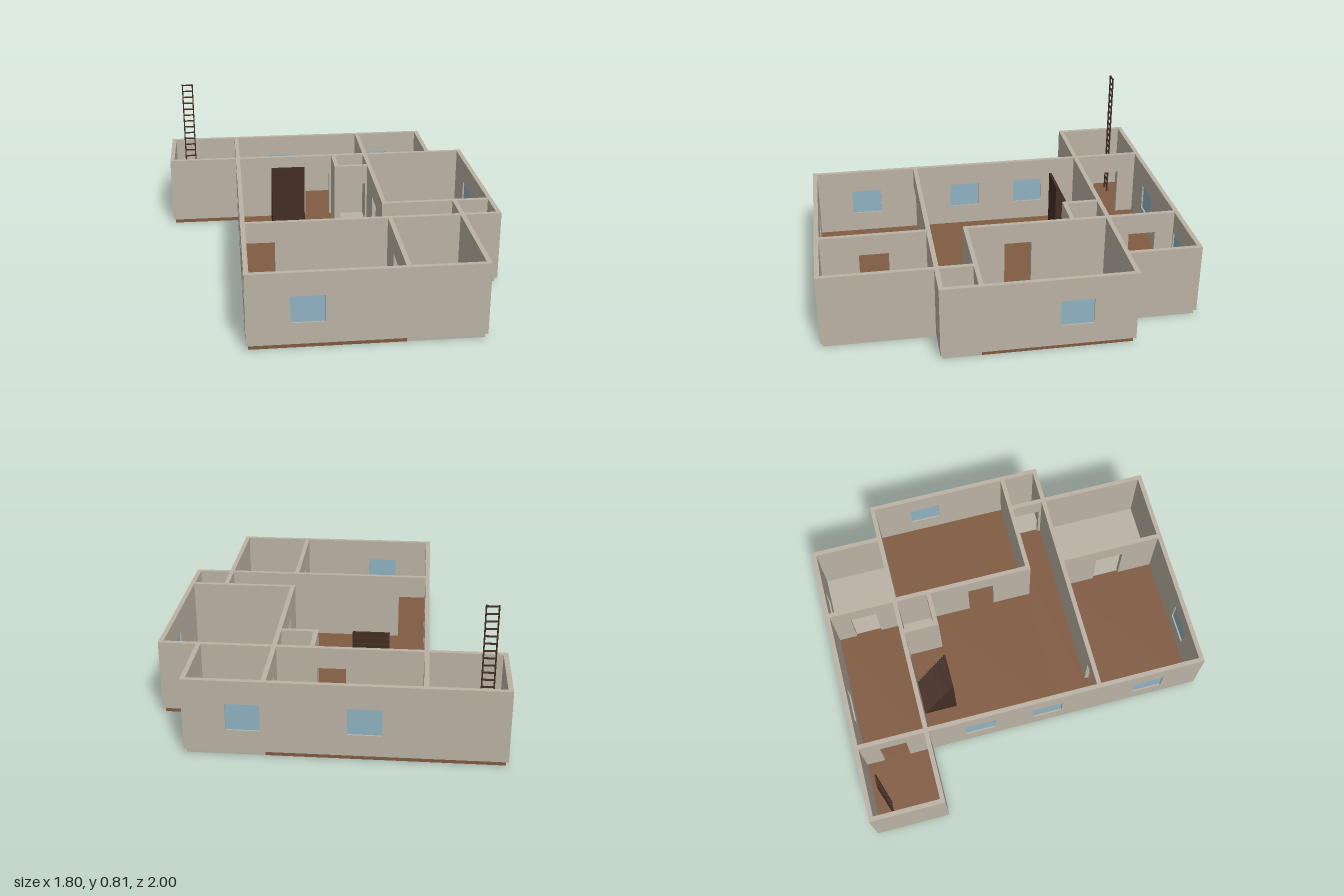
import * as THREE from 'three';

const mat = (name, color) => {
  const m = new THREE.MeshStandardMaterial({ color });
  m.name = name;
  return m;
};

export function createModel() {
  const plaster = mat('plaster', 0xbbb2a4);
  const tile = mat('tile', 0xb9b2a5);
  const wood = mat('wood floor', 0x815b41);
  const darkWood = mat('dark wood', 0x432d23);
  const glass = mat('window glass', 0x8fb2c2);

  const house = new THREE.Group();
  house.name = 'house';
  const T = 0.025, Y0 = 0.026, Y1 = 0.415, DOOR = 0.3;
  const W0 = 0.143, W1 = 0.288, HALF = 0.086;

  function add(name, geometry, material, parent = house) {
    const mesh = new THREE.Mesh(geometry, material);
    mesh.name = name;
    parent.add(mesh);
    return mesh;
  }
  function box(name, x0, x1, y0, y1, z0, z1, material, parent) {
    const mesh = add(name, new THREE.BoxGeometry(x1 - x0, y1 - y0, z1 - z0), material, parent);
    mesh.position.set((x0 + x1) / 2, (y0 + y1) / 2, (z0 + z1) / 2);
  }

  // Wall centre lines
  const A = -0.8925, B = -0.4935, C = 0.0955, D = 0.293, E = 0.6875, F = 0.8875;
  const N = -0.9875, P = -0.5975, Q = -0.4, R = 0.1925, S = 0.3925, U = 0.9875;

  // Floor slabs: x0, x1, z0, z1
  const floors = [
    ['storageFloor', A, B, N, P, wood],
    ['backRoomFloor', B, D, N, P, wood],
    ['backTileFloor', D, E, N, P, tile],
    ['hallFloorBack', B, C, P, Q, wood],
    ['hallFloorMiddle', B, D, Q, R, wood],
    ['hallFloorFront', B, E, R, S, wood],
    ['closetFloor', C, D, P, Q, tile],
    ['sideRoomFloor', D, F, P, R, wood],
    ['sideClosetFloor', E, F, R, S, tile],
    ['frontRoomFloor', B, D, S, U, wood],
    ['frontTileFloor', D, E, S, U, tile],
  ];
  for (const [name, x0, x1, z0, z1, m] of floors) box(name, x0, x1, 0, Y0, z0, z1, m);

  // A wall with door notches and glazed window holes, running along x or z
  function wall(name, axis, at, from, to, doors = [], windows = []) {
    const g = new THREE.Group();
    g.name = name;
    const a = from - T / 2, b = to + T / 2;
    const s = new THREE.Shape();
    s.moveTo(a, Y0);
    for (const [d0, d1] of doors) {
      s.lineTo(d0, Y0);
      s.lineTo(d0, DOOR);
      s.lineTo(d1, DOOR);
      s.lineTo(d1, Y0);
    }
    s.lineTo(b, Y0);
    s.lineTo(b, Y1);
    s.lineTo(a, Y1);
    s.closePath();
    for (const c of windows) {
      const h = new THREE.Path();
      h.moveTo(c - HALF, W0);
      h.lineTo(c - HALF, W1);
      h.lineTo(c + HALF, W1);
      h.lineTo(c + HALF, W0);
      h.closePath();
      s.holes.push(h);
      box('windowPane', c - HALF, c + HALF, W0, W1, -0.004, 0.004, glass, g);
    }
    const geo = new THREE.ExtrudeGeometry(s, { depth: T, bevelEnabled: false });
    geo.translate(0, 0, -T / 2);
    add('wallPanel', geo, plaster, g);
    if (axis === 'z') {
      g.rotation.y = -Math.PI / 2;
      g.position.x = at;
    } else g.position.z = at;
    house.add(g);
  }

  // Outer walls
  wall('backWall', 'x', N, A, E, [], [-0.2, 0.4]);
  wall('frontWall', 'x', U, B, E, [], [-0.2]);
  wall('storageSideWall', 'z', A, N, P);
  wall('rightSideWall', 'z', B, N, U, [[-0.87, -0.72]], [-0.295, 0.095, 0.69]);
  wall('leftSideWall', 'z', F, P, S, [], [-0.295]);
  wall('backCornerWall', 'z', E, N, P);
  wall('frontCornerWall', 'z', E, R, U, [[0.22, 0.365]]);

  // Partitions
  wall('backPartition', 'x', P, A, F, [[-0.08, 0.07]]);
  wall('frontPartition', 'x', S, B, F, [[-0.48, -0.325]]);
  wall('middlePartition', 'z', D, N, R, [[-0.87, -0.72], [-0.17, -0.02]]);
  wall('frontRoomPartition', 'z', D, S, U, [[0.61, 0.77]]);
  wall('sidePartition', 'x', R, D, F);
  wall('closetSide', 'z', C, P, Q);
  wall('closetFront', 'x', Q, C, D, [[0.12, 0.27]]);

  // Solid staircase, climbing from the back partition towards the front
  const steps = 14, zLow = -0.582, zHigh = -0.393;
  const profile = new THREE.Shape();
  profile.moveTo(zLow, Y0);
  profile.lineTo(zHigh, Y0);
  profile.lineTo(zHigh, Y1);
  for (let i = steps - 1; i >= 0; i--) {
    const z = zLow + (zHigh - zLow) * i / steps;
    profile.lineTo(z, Y0 + (Y1 - Y0) * (i + 1) / steps);
    if (i > 0) profile.lineTo(z, Y0 + (Y1 - Y0) * i / steps);
  }
  profile.closePath();
  const stairs = new THREE.ExtrudeGeometry(profile, { depth: 0.196, bevelEnabled: false });
  stairs.rotateY(-Math.PI / 2);
  stairs.translate(-0.1, 0, 0);
  add('stairs', stairs, darkWood);

  // Ladder standing in the storage room
  const ladder = new THREE.Group();
  ladder.name = 'ladder';
  house.add(ladder);
  const lx0 = -0.823, lx1 = -0.755, lz = -0.887, top = 0.81, h = 0.004;
  for (const x of [lx0, lx1 - 0.007]) {
    box('ladderRail', x, x + 0.007, Y0, top, lz - h, lz + h, darkWood, ladder);
  }
  for (let i = 0; i < 20; i++) {
    const y = top - 0.006 - i * 0.0388;
    box('ladderRung', lx0, lx1, y - 0.0035, y + 0.0035, lz - h, lz + h, darkWood, ladder);
  }

  return house;
}
